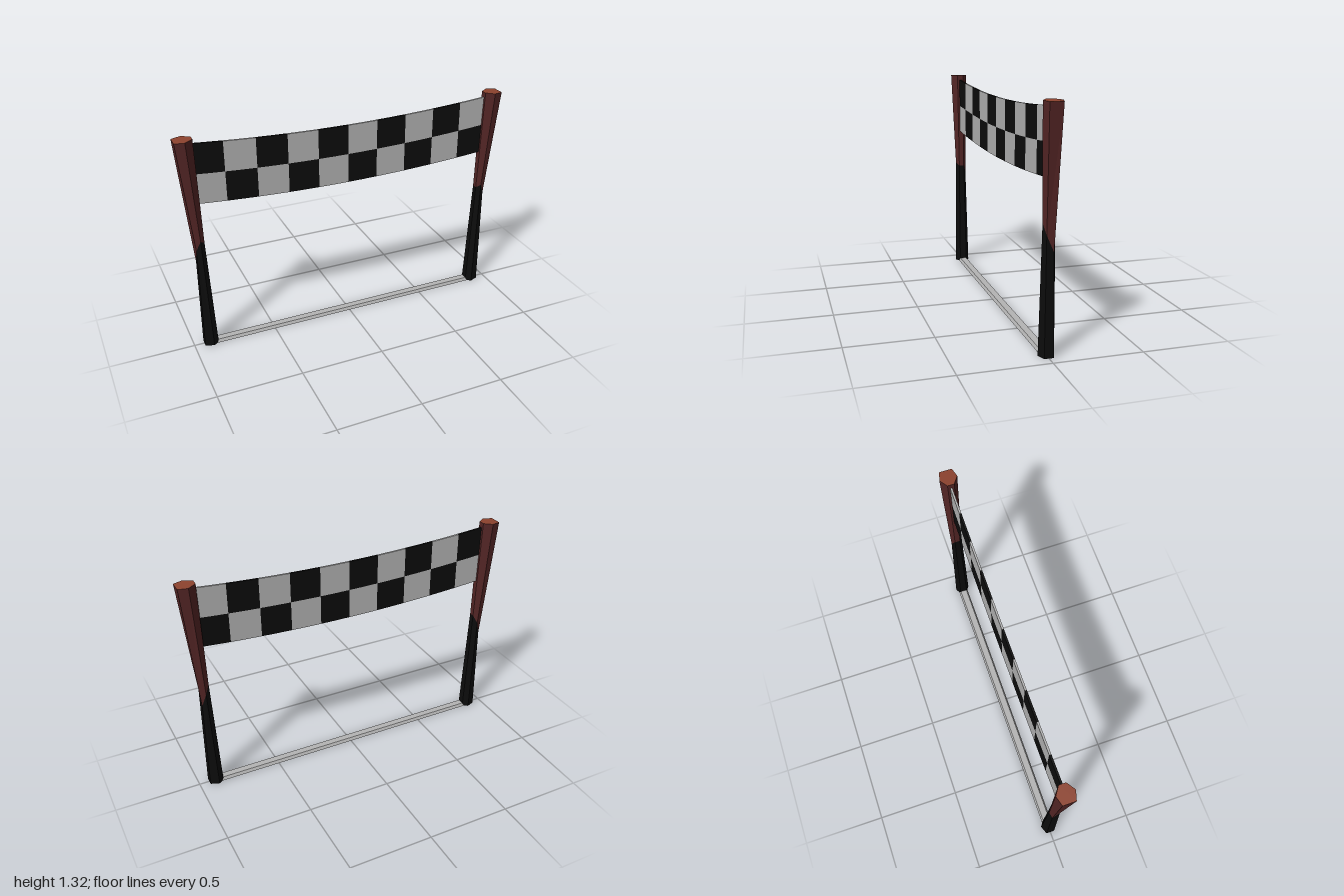
import * as THREE from 'three';

const mat = (name, color) => {
  const m = new THREE.MeshStandardMaterial({ color });
  m.name = name;
  return m;
};

// Flat-faced geometry from a list of triangles (each three [x, y, z] corners)
function fromTriangles(tris, mirrored) {
  const geo = new THREE.BufferGeometry();
  const pts = [];
  for (const [a, b, c] of tris) {
    for (const p of mirrored ? [a, c, b] : [a, b, c]) pts.push(mirrored ? -p[0] : p[0], p[1], p[2]);
  }
  geo.setAttribute('position', new THREE.Float32BufferAttribute(pts, 3));
  geo.computeVertexNormals();
  return geo;
}

// Side walls between two six-cornered rings
function walls(low, high) {
  const tris = [];
  for (let i = 0; i < low.length; i++) {
    const j = (i + 1) % low.length;
    tris.push([low[j], low[i], high[i]], [low[j], high[i], high[j]]);
  }
  return tris;
}

// End cap of a ring, facing up or down
function cap(ring, up) {
  const tris = [];
  for (let i = 1; i < ring.length - 1; i++) {
    tris.push(up ? [ring[0], ring[i + 1], ring[i]] : [ring[0], ring[i], ring[i + 1]]);
  }
  return tris;
}

// Ring of six corners: front half (outer, middle, inner), then the back half mirrored
function ring(half, heights) {
  const corners = [...half, ...[...half].reverse().map(([x, z]) => [x, -z])];
  return corners.map(([x, z], i) => [x, heights[i], z]);
}

export function createModel() {
  const black = mat('black', 0x0c0c0c);
  const grey = mat('pale grey', 0xb4b4b4);
  const red = mat('dark red', 0x532525);
  const rust = mat('rust', 0x8c422e);

  const model = new THREE.Group();
  const add = (parent, name, geo, material) => {
    const mesh = new THREE.Mesh(geo, material);
    mesh.name = name;
    parent.add(mesh);
    return mesh;
  };

  // Posts: waisted hexagonal columns with an uneven paint line
  const foot = ring([[0.94, 0.026], [0.89, 0.045], [0.858, 0.022]], [0, 0, 0, 0, 0, 0]);
  const waist = ring([[0.936, 0.02], [0.91, 0.034], [0.885, 0.016]], [0.65, 0.71, 0.69, 0.69, 0.64, 0.56]);
  const head = ring([[1, 0.037], [0.945, 0.053], [0.897, 0.02]], [1.316, 1.318, 1.32, 1.32, 1.318, 1.316]);
  for (const [name, mirrored] of [['leftPost', false], ['rightPost', true]]) {
    const post = new THREE.Group();
    post.name = name;
    add(post, 'lowerPost', fromTriangles([...walls(foot, waist), ...cap(foot, false)], mirrored), black);
    add(post, 'upperPost', fromTriangles(walls(waist, head), mirrored), red);
    add(post, 'postTop', fromTriangles(cap(head, true), mirrored), rust);
    model.add(post);
  }

  // Sagging chequered banner, two rows of ten cells
  const banner = new THREE.Group();
  banner.name = 'banner';
  const columns = 10, cellWidth = 0.183, cellHeight = 0.178;
  const sag = x => 0.894 + 0.048 * x * x;
  for (let row = 0; row < 2; row++) {
    for (let col = 0; col < columns; col++) {
      const geo = new THREE.BoxGeometry(cellWidth, cellHeight, 0.012, 2, 1, 1);
      geo.translate((col - columns / 2 + 0.5) * cellWidth, (row + 0.5) * cellHeight, 0);
      const p = geo.attributes.position;
      for (let i = 0; i < p.count; i++) p.setY(i, p.getY(i) + sag(p.getX(i)));
      geo.computeVertexNormals();
      add(banner, 'bannerCell', geo, (row + col) % 2 ? black : grey);
    }
  }
  model.add(banner);

  // Low ground bar with bevelled sides
  const section = new THREE.Shape([
    new THREE.Vector2(-0.03, 0), new THREE.Vector2(0.03, 0),
    new THREE.Vector2(0.02, 0.018), new THREE.Vector2(-0.02, 0.018),
  ]);
  const bar = new THREE.ExtrudeGeometry(section, { depth: 1.76, bevelEnabled: false });
  bar.translate(0, 0, -0.88).rotateY(Math.PI / 2);
  add(model, 'groundBar', bar, grey);

  return model;
}
